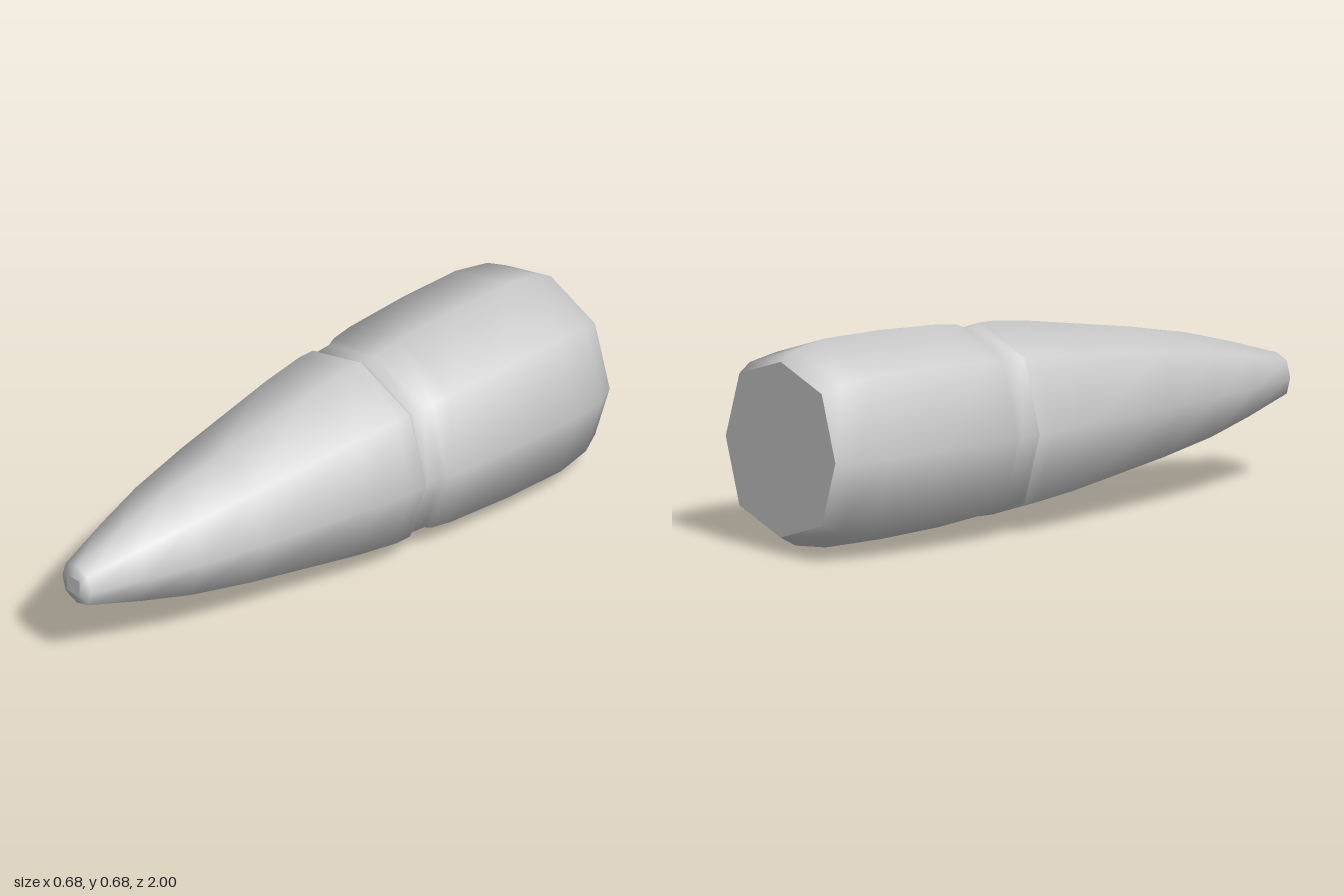
import * as THREE from 'three';

const SIDES = 8;
const CENTRE_Y = 0.34;

// Eight-sided ring: axis corners at r, diagonal corners at (d, d)
function ring(z, r, d = r * 0.751) {
  return [[r, 0], [d, d], [0, r], [-d, d], [-r, 0], [-d, -d], [0, -r], [d, -d]]
    .map(([x, y]) => [x, y, z]);
}

function skin(rings) {
  const index = [];
  for (let i = 0; i < rings.length - 1; i++) {
    for (let j = 0; j < SIDES; j++) {
      const k = (j + 1) % SIDES;
      const a = i * SIDES + j, b = a + SIDES, c = (i + 1) * SIDES + k, d = i * SIDES + k;
      index.push(a, b, c, a, c, d);
    }
  }
  return geometry(rings.flat(), index);
}

function cap(points, facing) {
  const index = [];
  for (let j = 1; j < SIDES - 1; j++) {
    index.push(0, ...(facing > 0 ? [j, j + 1] : [j + 1, j]));
  }
  return geometry(points, index);
}

function geometry(points, index) {
  const g = new THREE.BufferGeometry();
  g.setAttribute('position', new THREE.Float32BufferAttribute(points.flat(), 3));
  g.setIndex(index);
  g.computeVertexNormals();
  return g;
}

export function createModel() {
  const group = new THREE.Group();
  group.name = 'taperedProjectile';
  const material = new THREE.MeshStandardMaterial({ color: 0xcccccc });
  const add = (name, geo) => {
    const mesh = new THREE.Mesh(geo, material);
    mesh.name = name;
    mesh.position.y = CENTRE_Y;
    group.add(mesh);
  };

  // Tapered nose, from the small square tip back to the groove lip
  const tip = ring(1, 0.03, 0.03);
  const nose = [tip, ...[
    [0.985, 0.071], [0.8, 0.13], [0.62, 0.181], [0.4, 0.226],
    [0, 0.294], [-0.15, 0.313], [-0.205, 0.313],
  ].map(([z, r]) => ring(z, r))];

  // Shallow groove, straight body and chamfered tail
  const body = [
    [-0.205, 0.313], [-0.22, 0.304], [-0.27, 0.307], [-0.295, 0.318],
    [-0.37, 0.328], [-0.6, 0.338], [-0.82, 0.338], [-0.94, 0.317], [-1, 0.284],
  ].map(([z, r]) => ring(z, r));

  add('nose', skin(nose));
  add('body', skin(body));
  add('noseTip', cap(tip, 1));
  add('base', cap(body[body.length - 1], -1));
  return group;
}
